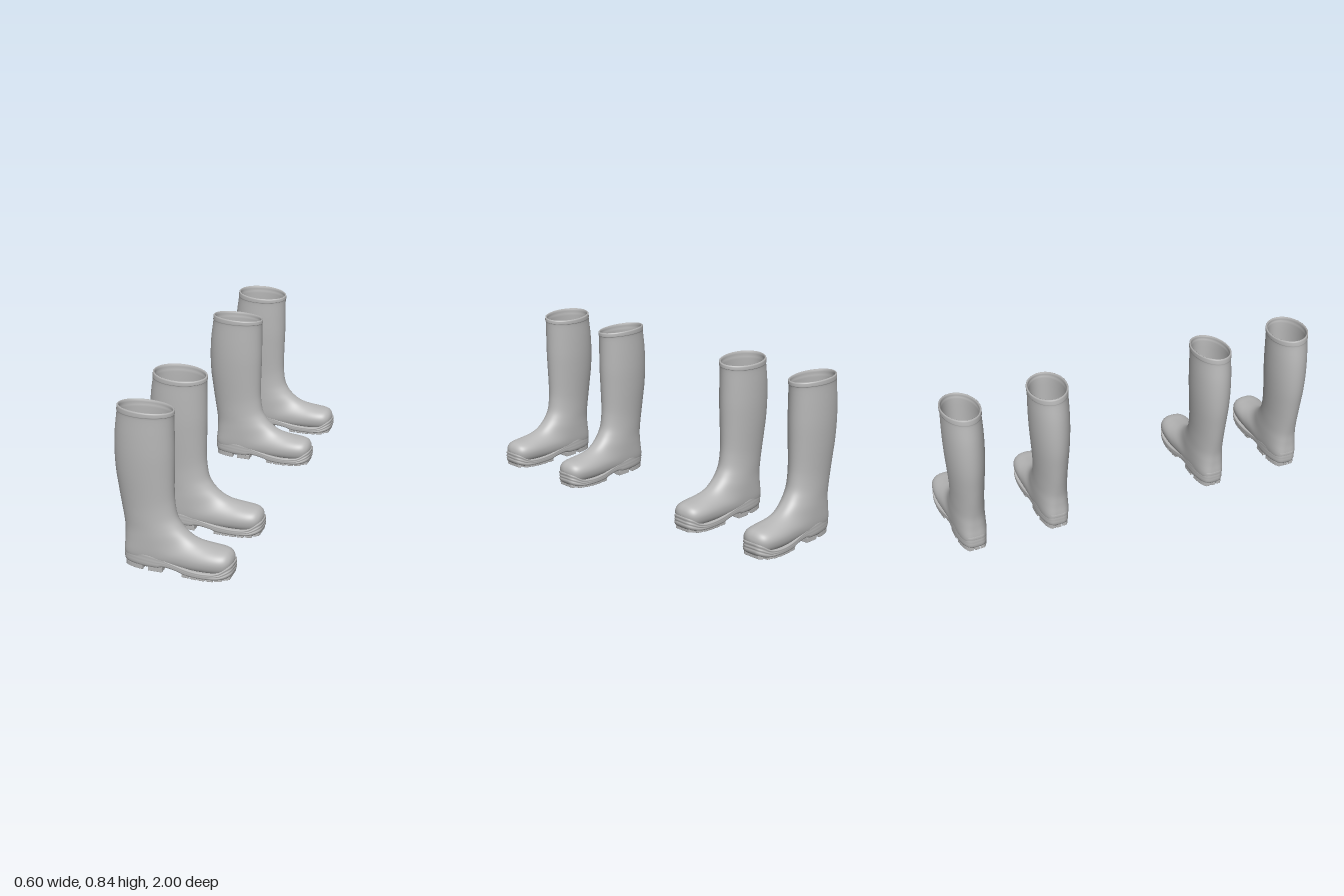
import * as THREE from 'three';

const SEG = 96;
const sstep = THREE.MathUtils.smoothstep;

// Smooth curve through points [x, y]
function curve(pts, x) {
  const n = pts.length - 1;
  if (x <= pts[0][0]) return pts[0][1];
  if (x >= pts[n][0]) return pts[n][1];
  let i = 0;
  while (x > pts[i + 1][0]) i++;
  const slope = (k) => {
    const a = pts[Math.max(0, k - 1)], b = pts[Math.min(n, k + 1)];
    return (b[1] - a[1]) / (b[0] - a[0]);
  };
  const h = pts[i + 1][0] - pts[i][0], t = (x - pts[i][0]) / h, t2 = t * t, t3 = t2 * t;
  return (2 * t3 - 3 * t2 + 1) * pts[i][1] + (t3 - 2 * t2 + t) * h * slope(i)
    + (3 * t2 - 2 * t3) * pts[i + 1][1] + (t3 - t2) * h * slope(i + 1);
}

// Skin over closed rings of points
function loft(rings) {
  const pos = [], idx = [];
  rings.forEach((r) => r.forEach((p) => pos.push(...p)));
  for (let i = 0; i < rings.length - 1; i++) {
    for (let j = 0; j < SEG; j++) {
      const k = (j + 1) % SEG;
      const a = i * SEG + j, b = i * SEG + k, c = a + SEG, d = b + SEG;
      idx.push(a, b, c, b, d, c);
    }
  }
  const g = new THREE.BufferGeometry();
  g.setAttribute('position', new THREE.Float32BufferAttribute(pos, 3));
  g.setIndex(idx);
  g.computeVertexNormals();
  return g;
}
const ring = (f) => Array.from({ length: SEG }, (_, j) => f((j / SEG) * Math.PI * 2));
const spow = (v, p) => Math.sign(v) * Math.pow(Math.abs(v), p);
const shift = (x) => 0.006 * sstep(x, -0.05, 0.15); // foot leans outward

// Upper sections: front x, y, back x, y, half width, foot squareness
const SECTIONS = [
  [-0.001, 0.817, -0.279, 0.829, 0.1, 0],
  [0.0, 0.8, -0.282, 0.805, 0.1, 0],
  [-0.003, 0.788, -0.282, 0.79, 0.0975, 0],
  [-0.003, 0.7, -0.294, 0.7, 0.099, 0],
  [-0.003, 0.6, -0.299, 0.6, 0.098, 0],
  [-0.006, 0.5, -0.296, 0.5, 0.093, 0],
  [-0.008, 0.4, -0.284, 0.4, 0.086, 0],
  [-0.005, 0.34, -0.273, 0.32, 0.082, 0],
  [0.005, 0.28, -0.262, 0.25, 0.081, 0.1],
  [0.025, 0.24, -0.256, 0.2, 0.081, 0.3],
  [0.05, 0.21, -0.256, 0.14, 0.082, 0.6],
  [0.085, 0.183, -0.254, 0.06, 0.082, 0.9],
  [0.12, 0.167, -0.18, 0.03, 0.082, 1],
  [0.16, 0.157, -0.02, 0.028, 0.084, 1],
  [0.2, 0.15, 0.12, 0.028, 0.089, 1],
  [0.24, 0.145, 0.2, 0.03, 0.086, 1],
  [0.266, 0.138, 0.25, 0.035, 0.075, 1],
  [0.283, 0.123, 0.275, 0.05, 0.056, 1],
  [0.291, 0.105, 0.288, 0.07, 0.03, 1],
  [0.293, 0.09, 0.292, 0.085, 0.001, 1],
];
const sectionAt = (u) => SECTIONS[0].map((_, c) => curve(SECTIONS.map((r, i) => [i, r[c]]), u));

function sectionRing([ax, ay, bx, by, w, f], inset = 0, lift = 0) {
  ax -= inset; bx += inset; w -= inset;
  return ring((t) => {
    const c = Math.cos(t), p = c > 0 ? 1 - 0.2 * f : 1 - 0.55 * f;
    const x = (ax + bx) / 2 + ((ax - bx) / 2) * c;
    const y = (ay + by) / 2 + ((ay - by) / 2) * c + lift;
    const z = w * spow(Math.sin(t), p);
    return [x, y + 0.075 * z * sstep(y, 0.72, 0.82), z + shift(x)];
  });
}

function upperGeometry() {
  const rings = [];
  // Lining from the floor up to the rim
  const floor = [-0.01, 0.12, -0.24, 0.12, 0.07, 0];
  rings.push(sectionRing([-0.125, 0.12, -0.125, 0.12, 0, 0]), sectionRing(floor));
  for (let u = 9; u >= 0; u -= 0.5) rings.push(sectionRing(sectionAt(u), 0.009));
  rings.push(sectionRing(sectionAt(0), 0.004, 0.003));
  // Outside from the rim down the shaft and out to the toe
  for (let u = 0; u <= 19; u += 0.25) rings.push(sectionRing(sectionAt(u)));
  return loft(rings);
}

// Sole outline, top edge and underside
const MID = 0.019, HALF = 0.275;
const WIDTH = [[-0.26, 0.082], [-0.15, 0.083], [-0.02, 0.076], [0.06, 0.083], [0.15, 0.094], [0.22, 0.1], [0.3, 0.1]];
const TOP = [[-0.26, 0.101], [-0.15, 0.094], [-0.08, 0.083], [0, 0.062], [0.1, 0.047], [0.2, 0.047], [0.24, 0.056], [0.275, 0.08], [0.3, 0.092]];
const BASE = [[-0.26, 0.02], [-0.07, 0.02], [-0.045, 0.03], [0.04, 0.021], [0.065, 0.013], [0.2, 0.013], [0.26, 0.018], [0.3, 0.03]];
const edge = (x) => curve(WIDTH, x) * Math.pow(Math.max(0, 1 - ((x - MID) / HALF) ** 2), 0.25);

function soleGeometry() {
  // Levels: outset, height from underside (0) to top edge (1), toe groove depth
  const levels = [
    [-0.04, 0.97, 0], [-0.006, 1, 0], [0, 0.99, 0], [0.004, 0.93, 0], [0.004, 0.78, 0],
    [0.003, 0.7, 0.004], [0.004, 0.62, 0], [0.004, 0.48, 0], [0.003, 0.42, 0.004], [0.004, 0.36, 0],
    [0.003, 0.2, 0], [0, 0.08, 0], [-0.006, 0, 0], [-0.04, 0, 0],
  ];
  const level = (o, v, groove, k = 1) => ring((t) => {
    const cx = MID + HALF * Math.cos(t);
    const off = o - groove * sstep(cx, 0.17, 0.25);
    const x = MID + (HALF + off) * Math.cos(t) * k;
    const z = (curve(WIDTH, cx) + off) * spow(Math.sin(t), 0.5) * k;
    const b = curve(BASE, x);
    return [x, b + (curve(TOP, x) - b) * v, z + shift(x)];
  });
  const rings = levels.map((l) => level(...l));
  [0.6, 0.3, 0].forEach((k) => rings.push(level(-0.04, 0, 0, k)));
  return loft(rings);
}

// Tread lug between x0 and x1, from fraction k0 to k1 of the half width
function lugGeometry(x0, x1, k0, k1, bottom, top = 0.028) {
  const N = 8, inner = [], outer = [];
  for (let i = 0; i <= N; i++) {
    const x = x0 + ((x1 - x0) * i) / N, w = edge(x);
    inner.push(new THREE.Vector2(x, w * k0 + shift(x)));
    outer.unshift(new THREE.Vector2(x, w * k1 + shift(x)));
  }
  const b = 0.003;
  const g = new THREE.ExtrudeGeometry(new THREE.Shape([...inner, ...outer]), {
    depth: top - bottom - 2 * b, bevelEnabled: true, bevelThickness: b, bevelSize: b, bevelOffset: -b, bevelSegments: 2,
  });
  return g.rotateX(Math.PI / 2).translate(0, top - b, 0);
}

function treadParts() {
  const parts = [];
  const sides = (name, x0, x1, k, bottom) => {
    parts.push([name, lugGeometry(x0, x1, k, 0.99, bottom)], [name, lugGeometry(x0, x1, -0.99, -k, bottom)]);
  };
  // Heel blocks either side of the notch
  sides('heelLug', -0.248, -0.15, 0.42, 0);
  sides('heelLug', -0.122, -0.05, 0.42, 0);
  parts.push(['heelLug', lugGeometry(-0.25, -0.2, -0.32, 0.32, 0)]);
  parts.push(['heelLug', lugGeometry(-0.1, -0.05, -0.32, 0.32, 0)]);
  // Forefoot lugs round the edge
  for (let i = 0; i < 5; i++) sides('foreLug', 0.055 + i * 0.041, 0.09 + i * 0.041, 0.68, 0.001 + 0.0003 * i * i);
  parts.push(['toeLug', lugGeometry(0.26, 0.287, -0.92, 0.92, 0.01, 0.034)]);
  // Slanted ribs in the forefoot recess
  for (let i = 0; i < 6; i++) {
    const rib = new THREE.BoxGeometry(0.008, 0.014, 0.095).rotateY(0.5);
    parts.push(['treadRib', rib.translate(0.085 + i * 0.03, 0.012, 0.005)]);
  }
  return parts;
}

// Mirror across z and keep faces outward
function mirrored(source) {
  const g = source.clone().scale(1, 1, -1);
  const n = g.index ? g.index.count : g.attributes.position.count;
  const idx = Array.from({ length: n }, (_, i) => (g.index ? g.index.getX(i) : i));
  for (let i = 0; i < n; i += 3) [idx[i + 1], idx[i + 2]] = [idx[i + 2], idx[i + 1]];
  g.setIndex(idx);
  return g;
}

export function createModel() {
  const model = new THREE.Group();
  model.name = 'rubberBoots';
  const rubber = new THREE.MeshStandardMaterial({ color: 0xb8b8b8 });
  rubber.name = 'greyRubber';

  const parts = [['upper', upperGeometry()], ['sole', soleGeometry()], ...treadParts()];
  const flipped = parts.map(([name, g]) => [name, mirrored(g)]);

  // Two pairs, each a boot and its mirror image
  for (const pairZ of [0.675, -0.675]) {
    for (const side of [1, -1]) {
      const boot = new THREE.Group();
      boot.name = side > 0 ? 'rightBoot' : 'leftBoot';
      for (const [name, g] of side > 0 ? parts : flipped) {
        const mesh = new THREE.Mesh(g, rubber);
        mesh.name = name;
        boot.add(mesh);
      }
      boot.position.z = pairZ + side * 0.225;
      model.add(boot);
    }
  }
  return model;
}
